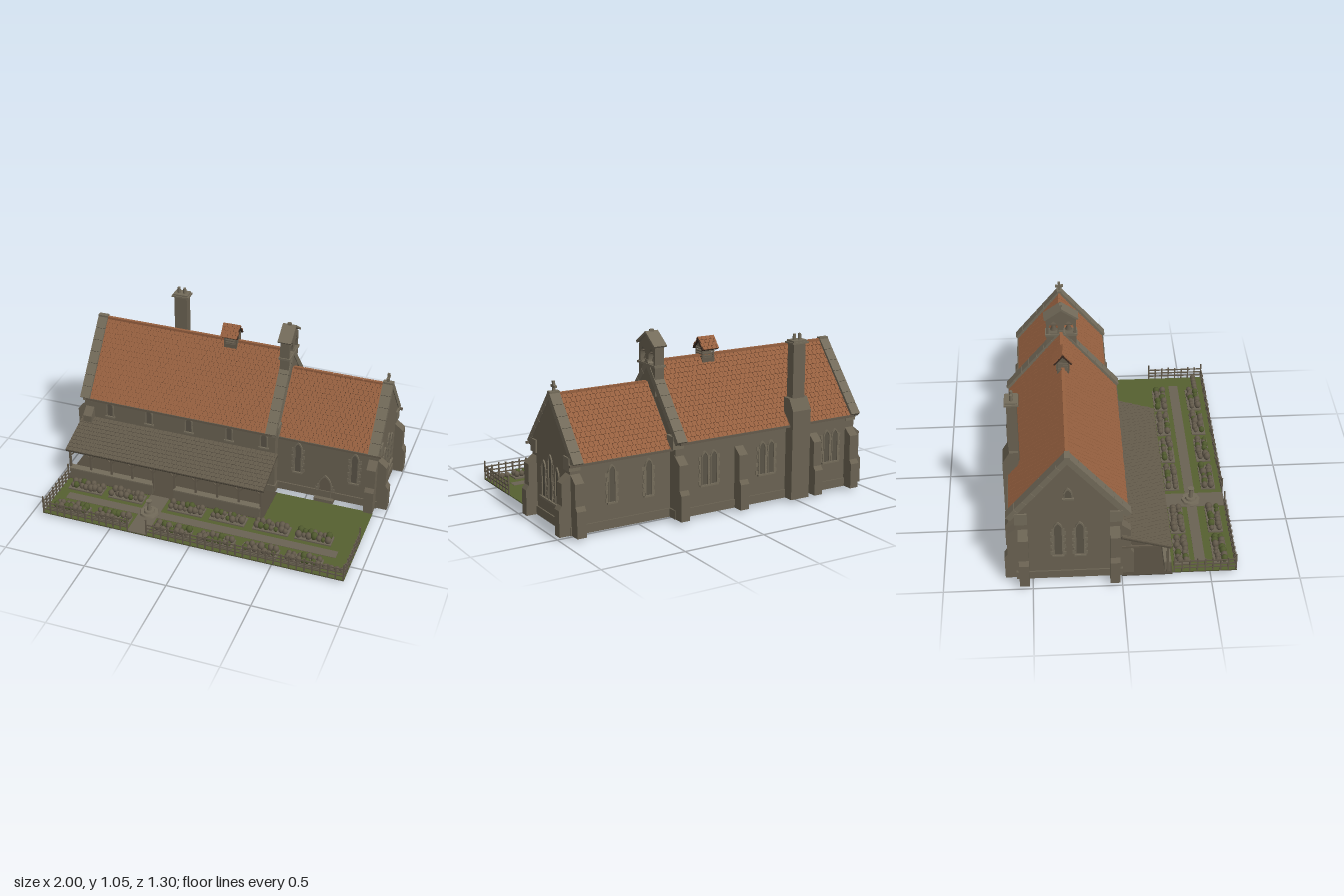
import * as THREE from 'three';
import { mergeGeometries } from 'three/addons/utils/BufferGeometryUtils.js';

const material = (name, color) => Object.assign(new THREE.MeshStandardMaterial({ color }), { name });
const stone = material('stone', 0x6a6252), trim = material('pale stone', 0x736b5a);
const tile = material('clay tile', 0x96603f), under = material('roof shadow gap', 0x38281f);
const wood = material('weathered wood', 0x635a4b), grass = material('grass', 0x566030);
const path = material('gravel', 0x6a6253), plant = material('shrub green', 0x505a2e);
const glass = material('window glass', 0x5a5447), earth = material('soil', 0x514a3d);
const ZC = -0.2925;

let seed = 7;
const rnd = () => (seed = (seed * 16807) % 2147483647) / 2147483647;

export function createModel() {
  const root = new THREE.Group();
  root.name = 'chapel';

  const add = (name, geo, mat) => {
    const m = new THREE.Mesh(geo, mat);
    m.name = name;
    root.add(m);
    return m;
  };
  const boxGeo = (x0, x1, y0, y1, z0, z1) =>
    new THREE.BoxGeometry(x1 - x0, y1 - y0, z1 - z0).translate((x0 + x1) / 2, (y0 + y1) / 2, (z0 + z1) / 2);
  const box = (name, mat, ...b) => add(name, boxGeo(...b), mat);
  const merged = (name, list, mat) => add(name, mergeGeometries(list), mat);
  const shapeOf = pts => new THREE.Shape(pts.map(p => new THREE.Vector2(...p)));
  // Extrudes a [z, y] outline along x
  const prism = (shape, x0, x1) =>
    new THREE.ExtrudeGeometry(shape, { depth: x1 - x0, bevelEnabled: false, curveSegments: 6 })
      .rotateY(-Math.PI / 2).translate(x1, 0, 0);

  // Walls with gables and a low plinth
  const walls = (name, x0, x1, half, eave, peak) => {
    add(name + 'Walls', prism(shapeOf([[ZC - half, 0.02], [ZC + half, 0.02], [ZC + half, eave],
      [ZC, peak], [ZC - half, eave]]), x0, x1), stone);
    box(name + 'Plinth', stone, x0 - 0.008, x1 + 0.008, 0.02, 0.07, ZC - half - 0.008, ZC + half + 0.008);
  };
  walls('nave', -0.93, 0.31, 0.29, 0.482, 0.845);
  walls('chancel', 0.3, 0.93, 0.235, 0.445, 0.735);

  // Places a geometry on a slope: s runs down from the ridge, n is height above it
  const onSlope = (geo, x, s, n, a, tilt, ridge, zc, side) => {
    geo.rotateX(a - tilt).translate(x, ridge - s * Math.sin(a) + n * Math.cos(a), s * Math.cos(a) + n * Math.sin(a));
    if (side < 0) geo.translate(-x, 0, 0).rotateY(Math.PI).translate(x, 0, 0);
    return geo.translate(0, 0, zc);
  };

  // Roof slopes laid with staggered tile courses
  const tiledRoof = (name, x0, x1, ridge, eave, half, zc, sides, rows, mat, backing) => {
    const a = Math.atan2(ridge - eave, half), len = Math.hypot(ridge - eave, half);
    const tw = 0.03, step = len / rows, mid = (x0 + x1) / 2, tiles = [], slabs = [];
    for (const side of sides) {
      slabs.push(onSlope(new THREE.BoxGeometry(x1 - x0, 0.008, len), mid, len / 2, -0.008, a, 0, ridge, zc, side));
      for (let r = 0; r < rows; r++)
        for (let x = x0 - (r % 2) * tw / 2; x < x1 - 0.004; x += tw) {
          const xa = Math.max(x0, x), xb = Math.min(x1, x + tw * 0.92);
          if (xb - xa < 0.003) continue;
          tiles.push(onSlope(new THREE.BoxGeometry(xb - xa, 0.006, step * 1.06), (xa + xb) / 2,
            (r + 0.5) * step, rnd() * 0.0015, a, 0.1, ridge, zc, side));
        }
    }
    merged(name + 'Backing', slabs, backing);
    merged(name + 'Tiles', tiles, mat);
  };
  tiledRoof('naveRoof', -0.88, 0.27, 0.86, 0.462, 0.325, ZC, [1, -1], 17, tile, under);
  tiledRoof('chancelRoof', 0.32, 0.88, 0.75, 0.42, 0.27, ZC, [1, -1], 14, tile, under);
  tiledRoof('verandaRoof', -0.945, 0.33, 0.308, 0.224, 0.275, 0, [1], 10, wood, earth);
  box('naveRidge', tile, -0.88, 0.27, 0.855, 0.87, ZC - 0.009, ZC + 0.009);
  for (let i = 0; i < 9; i++)
    box('chancelRidgeTile', tile, 0.33 + i * 0.061, 0.387 + i * 0.061, 0.745, 0.758, ZC - 0.009, ZC + 0.009);

  // Gable copings in blocks, with kneelers
  const coping = (name, x0, x1, ridge, eave, half, wall, n) => {
    const a = Math.atan2(ridge - eave, half), len = Math.hypot(ridge - eave, half), list = [];
    for (const side of [1, -1]) {
      for (let i = 0; i < n; i++)
        list.push(onSlope(new THREE.BoxGeometry(x1 - x0, 0.034, len / n - 0.002), (x0 + x1) / 2,
          (i + 0.5) * len / n, 0, a, 0, ridge, ZC, side));
      const z = ZC + side * wall;
      list.push(boxGeo(x0 - 0.004, x1 + 0.004, eave - 0.04, eave + 0.035, z - 0.035 - side * 0.03, z + 0.035 - side * 0.03));
    }
    list.push(boxGeo(x0, x1, ridge - 0.02, ridge + 0.02, ZC - 0.015, ZC + 0.015));
    merged(name, list, trim);
  };
  coping('westCoping', -0.935, -0.875, 0.858, 0.462, 0.33, 0.29, 7);
  coping('middleCoping', 0.262, 0.325, 0.858, 0.462, 0.33, 0.29, 7);
  coping('eastCoping', 0.873, 0.935, 0.75, 0.42, 0.275, 0.235, 6);
  for (const s of [1, -1]) {
    const g = ZC + s * 0.326, c = ZC + s * 0.272;
    box('naveGutter', wood, -0.9, 0.3, 0.452, 0.466, g - 0.007, g + 0.007);
    box('chancelGutter', wood, 0.32, 0.95, 0.412, 0.425, c - 0.007, c + 0.007);
  }

  // Stepped buttresses; turn 0 faces +z
  const buttress = (x, z, turn, h = 0.39) => {
    const p = [[-0.01, 0.02], [0.07, 0.02], [0.07, 0.17], [0.052, 0.195], [0.052, h - 0.05], [-0.01, h]];
    add('buttress', prism(shapeOf(p), -0.028, 0.028), stone).position.set(x, 0, z);
    root.children.at(-1).rotation.y = turn;
  };
  for (const z of [-0.04, -0.545]) buttress(-0.93, z, -Math.PI / 2);
  for (const z of [-0.085, -0.5]) buttress(0.93, z, Math.PI / 2, 0.37);
  for (const x of [-0.895, -0.63, -0.11, 0.285]) buttress(x, -0.5825, Math.PI);
  buttress(-0.895, -0.0025, 0);
  buttress(0.9, -0.0575, 0, 0.37);
  buttress(0.9, -0.5275, Math.PI, 0.37);

  // Pointed openings with frame, side blocks and panel
  const arch = (w, h, P = THREE.Shape) => {
    const s = new P();
    s.moveTo(-w / 2, 0).lineTo(w / 2, 0).lineTo(w / 2, h - w);
    s.quadraticCurveTo(w / 2, h - w * 0.35, 0, h).quadraticCurveTo(-w / 2, h - w * 0.35, -w / 2, h - w);
    return s.closePath();
  };
  const lancet = (name, x, y, z, w, h, turn, fill = glass, quoins = true) => {
    const g = new THREE.Group();
    g.name = name;
    const part = (geo, mat, n) => { const m = new THREE.Mesh(geo, mat); m.name = n; g.add(m); };
    const frame = arch(w, h);
    frame.holes.push(arch(w - 0.014, h - 0.012, THREE.Path));
    const ex = (s, depth) => new THREE.ExtrudeGeometry(s, { depth, bevelEnabled: false, curveSegments: 5 });
    part(ex(frame, 0.008), trim, 'frame');
    part(ex(arch(w - 0.012, h - 0.01), 0.002), fill, 'panel');
    part(boxGeo(-w / 2 - 0.006, w / 2 + 0.006, -0.01, 0, 0, 0.012), trim, 'sill');
    if (quoins) {
      const list = [];
      for (let i = 0; i * 0.024 < h - w; i++) for (const s of [-1, 1]) {
        const q = i % 2 ? 0.008 : 0.016, c = s * (w / 2 + q / 2);
        list.push(boxGeo(c - q / 2, c + q / 2, i * 0.024, i * 0.024 + 0.022, 0, 0.004));
      }
      part(mergeGeometries(list), trim, 'sideBlocks');
    }
    g.position.set(x, y, z);
    g.rotation.y = turn;
    root.add(g);
  };
  for (const x of [-0.76, -0.5, -0.24, 0.02, 0.24]) lancet('clerestoryWindow', x, 0.34, -0.0025, 0.05, 0.11, 0, glass, false);
  for (const x of [0.44, 0.79]) lancet('chancelWindow', x, 0.17, -0.0575, 0.05, 0.215, 0);
  for (const x of [0.45, 0.68]) lancet('chancelBackWindow', x, 0.17, -0.5275, 0.05, 0.215, Math.PI);
  for (const x of [-0.76, -0.3, 0.09]) for (const d of [-0.03, 0.03])
    lancet('naveBackWindow', x + d, 0.19, -0.5825, 0.05, 0.2, Math.PI);
  for (const [d, h] of [[-0.083, 0.215], [0, 0.265], [0.083, 0.215]])
    lancet('eastWindow', 0.93, 0.15, ZC + d, 0.05, h, Math.PI / 2);
  box('eastSill', trim, 0.93, 0.945, 0.14, 0.152, -0.415, -0.17);
  for (const d of [-0.06, 0.06]) lancet('westWindow', -0.93, 0.19, ZC + d, 0.055, 0.24, -Math.PI / 2);
  lancet('westGableLight', -0.93, 0.6, ZC, 0.05, 0.07, -Math.PI / 2, glass, false);
  for (const [x, z] of [[-0.325, -0.0025], [0.13, -0.0025], [0.615, -0.0575]]) {
    lancet('door', x, 0.02, z, 0.085, 0.165, 0, wood);
    box('doorStep', stone, x - 0.06, x + 0.06, 0, 0.025, z - 0.03, z + 0.035);
  }

  // Bellcote with two bells
  const cote = shapeOf([[-0.09, 0.68], [0.09, 0.68], [0.09, 0.955], [0, 1.02], [-0.09, 0.955]]);
  for (const c of [-0.045, 0.045]) {
    const pts = arch(0.06, 0.085, THREE.Path).getPoints(6).map(p => new THREE.Vector2(p.x + c, p.y + 0.858));
    cote.holes.push(new THREE.Path(pts));
    const bell = [[0, 0.045], [0.009, 0.042], [0.012, 0.02], [0.021, 0]].map(p => new THREE.Vector2(...p)).reverse();
    const b = add('bell', new THREE.LatheGeometry(bell, 12), wood);
    b.material = wood;
    b.position.set(0.293, 0.872, ZC + c);
    box('bellHanger', wood, 0.265, 0.32, 0.917, 0.923, ZC + c - 0.02, ZC + c + 0.02);
    box('clapper', wood, 0.289, 0.297, 0.862, 0.874, ZC + c - 0.004, ZC + c + 0.004);
  }
  add('bellcote', prism(cote, 0.265, 0.321), stone).position.z = ZC;
  box('bellcoteLedge', trim, 0.257, 0.329, 0.843, 0.856, ZC - 0.097, ZC + 0.097);
  const ca = Math.atan2(0.07, 0.1);
  merged('bellcoteRoof', [1, -1].map(s =>
    onSlope(new THREE.BoxGeometry(0.082, 0.012, 0.124), 0.292, 0.06, 0, ca, 0, 1.032, ZC, s)), trim);
  box('bellcoteFinial', trim, 0.28, 0.304, 1.02, 1.047, ZC - 0.008, ZC + 0.008);

  // Cross on the east gable
  box('crossUpright', trim, 0.895, 0.909, 0.755, 0.825, ZC - 0.007, ZC + 0.007);
  box('crossArm', trim, 0.895, 0.909, 0.789, 0.803, ZC - 0.025, ZC + 0.025);

  // Chimney
  add('chimneyBreast', prism(shapeOf([[-0.65, 0.02], [-0.56, 0.02], [-0.56, 0.62], [-0.61, 0.62], [-0.65, 0.55]]), -0.56, -0.435), stone);
  box('chimneyStack', stone, -0.54, -0.457, 0.5, 0.94, -0.612, -0.555);
  box('chimneyBand', trim, -0.553, -0.444, 0.935, 0.945, -0.623, -0.544);
  box('chimneyCap', trim, -0.545, -0.452, 0.945, 0.955, -0.617, -0.55);
  for (const x of [-0.517, -0.48])
    add('chimneyPot', new THREE.CylinderGeometry(0.009, 0.011, 0.04, 10), trim).position.set(x, 0.97, -0.583);

  // Roof louvre
  box('louvreBase', wood, -0.105, -0.025, 0.8, 0.85, ZC - 0.035, ZC + 0.035);
  for (const x of [-0.103, -0.03]) for (const z of [-0.035, 0.03])
    box('louvrePost', wood, x, x + 0.008, 0.84, 0.92, ZC + z, ZC + z + 0.008);
  for (let i = 0; i < 4; i++)
    box('louvreSlat', wood, -0.103, -0.022, 0.855 + i * 0.015, 0.861 + i * 0.015, ZC - 0.038, ZC + 0.038);
  add('louvreGable', prism(shapeOf([[-0.04, 0.91], [0.04, 0.91], [0, 0.958]]), -0.105, -0.025), wood).position.z = ZC;
  tiledRoof('louvreRoof', -0.12, -0.012, 0.968, 0.903, 0.056, ZC, [1, -1], 4, tile, under);

  // Veranda: floor, low wall, posts, beams and braces
  box('verandaFloor', earth, -0.945, 0.33, 0.018, 0.024, 0, 0.285);
  box('verandaBeam', wood, -0.94, 0.325, 0.212, 0.226, 0.248, 0.264);
  const timber = [];
  for (let i = 0; i < 10; i++) {
    const x = -0.925 + i * 0.1372;
    timber.push(boxGeo(x - 0.006, x + 0.006, 0.02, 0.215, 0.25, 0.262), boxGeo(x - 0.005, x + 0.005, 0.214, 0.226, 0, 0.26));
    for (const s of [-1, 1])
      if ((i || s > 0) && (i < 9 || s < 0))
        timber.push(new THREE.BoxGeometry(0.007, 0.055, 0.007).rotateZ(-s * 0.75).translate(x + s * 0.02, 0.193, 0.256));
    if (i < 9 && i !== 4) {
      box('verandaWall', stone, x, x + 0.1372, 0.02, 0.088, 0.24, 0.274);
      box('verandaWallCap', trim, x, x + 0.1372, 0.088, 0.096, 0.236, 0.278);
    }
  }
  merged('verandaTimber', timber, wood);

  // Garden ground and paths
  box('lawn', grass, 0.33, 0.93, 0.016, 0.022, 0, 0.285);
  box('gardenLawn', grass, -0.93, 0.93, 0.018, 0.022, 0.285, 0.65);
  box('gardenSoil', earth, -0.93, 0.93, 0.014, 0.018, 0.285, 0.65);
  box('longPath', path, -0.86, 0.835, 0.02, 0.024, 0.42, 0.48);
  box('entrancePath', path, -0.385, -0.265, 0.02, 0.025, 0.28, 0.65);

  // Planted beds
  const shrubs = [[], []];
  for (const z of [0.348, 0.567])
    for (const x of [-0.775, -0.51, -0.125, 0.14, 0.41, 0.67]) {
      box('flowerBed', path, x - 0.11, x + 0.11, 0.02, 0.03, z - 0.043, z + 0.043);
      for (let i = 0; i < 14; i++) {
        const r = 0.013 + rnd() * 0.009, g = new THREE.IcosahedronGeometry(r, 1);
        g.scale(1, 1.2, 1).translate(x - 0.09 + (i % 7) * 0.03 + (rnd() - 0.5) * 0.012, 0.032 + r * 0.9,
          z + (i < 7 ? -0.02 : 0.02) + (rnd() - 0.5) * 0.01);
        shrubs[rnd() < 0.3 ? 1 : 0].push(g);
      }
    }
  for (let i = 0; i < 4; i++)
    shrubs[0].push(new THREE.IcosahedronGeometry(0.018, 1).translate(0.805 + i * 0.034, 0.04, 0.59));
  merged('greyShrubs', shrubs[0], wood);
  merged('greenShrubs', shrubs[1], plant);

  // Sundial
  [[0.055, 0.06, 0.014, 0.03], [0.032, 0.036, 0.014, 0.043], [0.01, 0.014, 0.06, 0.078], [0.02, 0.016, 0.008, 0.111]]
    .forEach(([a, b, h, y]) => add('sundial', new THREE.CylinderGeometry(a, b, h, 8), trim).position.set(-0.325, y, 0.45));

  // Garden fence, open at the entrance path
  const fence = [];
  const run = (x0, x1, z0, z1) => {
    const len = Math.hypot(x1 - x0, z1 - z0), n = Math.round(len / 0.045);
    for (let i = 0; i <= n; i++) {
      const x = x0 + (x1 - x0) * i / n, z = z0 + (z1 - z0) * i / n, h = i % n ? 0.1 + rnd() * 0.012 : 0.132;
      fence.push(boxGeo(x - 0.004, x + 0.004, 0.015, h, z - 0.004, z + 0.004));
    }
    for (const y of [0.042, 0.066, 0.09])
      fence.push(boxGeo(x0 - 0.002, x1 + 0.002, y, y + 0.008, z0 - 0.002, z1 + 0.002));
  };
  run(-0.926, -0.385, 0.645, 0.645);
  run(-0.265, 0.926, 0.645, 0.645);
  for (const x of [-0.926, 0.926]) run(x, x, 0.295, 0.645);
  merged('fence', fence, wood);
  return root;
}
